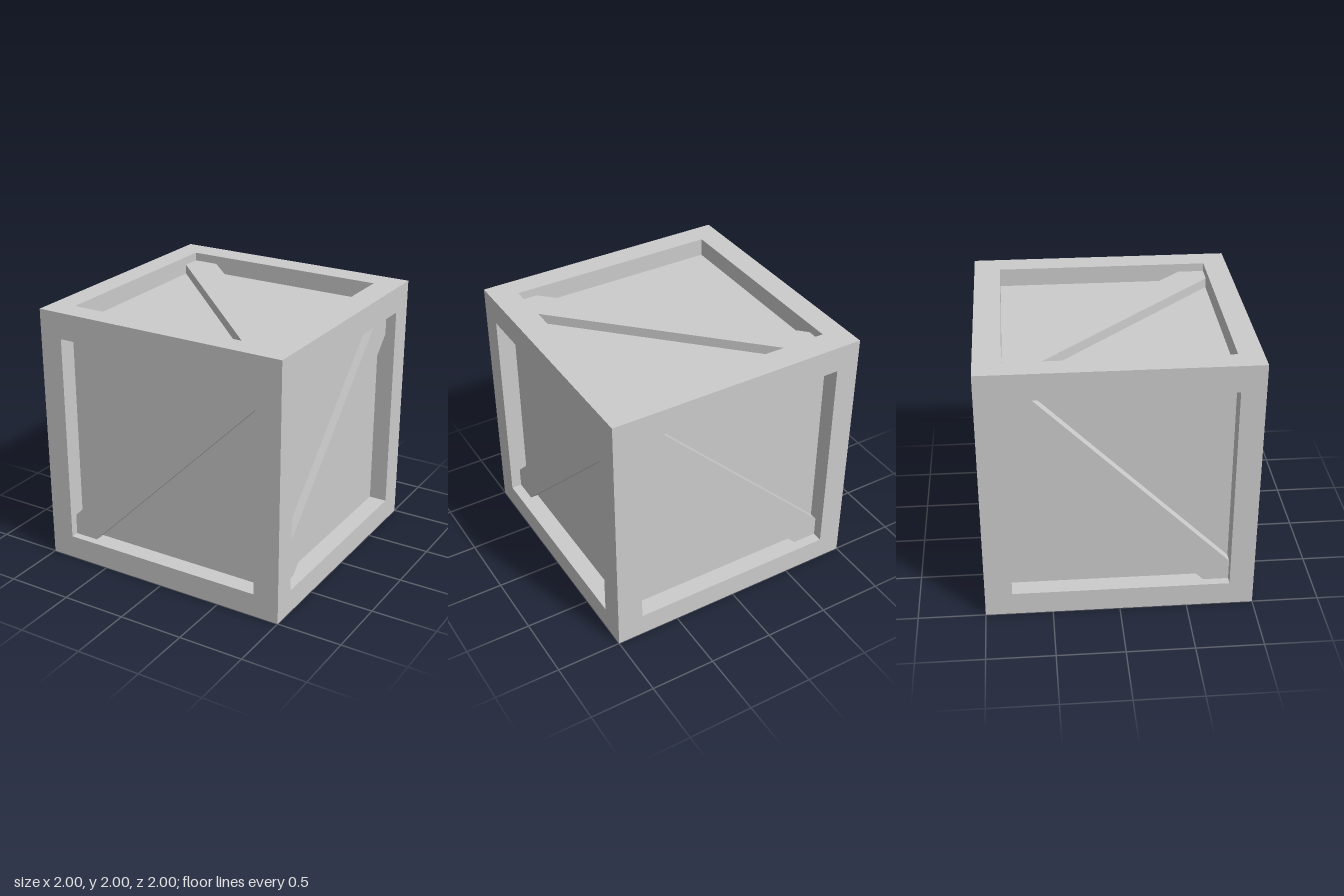
import * as THREE from 'three';

export function createModel() {
  const group = new THREE.Group();
  const mat = new THREE.MeshStandardMaterial({ color: 0xcccccc, flatShading: true });

  const add = (name, geo, parent = group) => {
    const m = new THREE.Mesh(geo, mat);
    m.name = name;
    parent.add(m);
    return m;
  };
  // Box between two extents on each axis
  const box = (name, [x0, x1], [y0, y1], [z0, z1]) =>
    add(name, new THREE.BoxGeometry(x1 - x0, y1 - y0, z1 - z0))
      .position.set((x0 + x1) / 2, (y0 + y1) / 2, (z0 + z1) / 2);

  // Recessed panels on all six sides
  box('innerPanels', [-0.86, 0.86], [0.14, 1.86], [-0.86, 0.86]);

  // Frame: corner posts with rails between them
  const xs = [[-1, -0.82], [0.8, 1]];
  const ys = [[0, 0.18], [1.8, 2]];
  const zs = [[-1, -0.8], [0.82, 1]];
  for (const x of xs) for (const z of zs) box('cornerPost', x, [0, 2], z);
  for (const y of ys) {
    for (const z of zs) box('widthRail', [-0.82, 0.8], y, z);
    for (const x of xs) box('depthRail', x, y, [-0.8, 0.82]);
  }

  // Diagonal braces, one on each side, trimmed to the frame opening
  const bracePair = (name, rotation, centreV, upper, lower, outer, inner) => {
    const h = 0.81;
    const shape = new THREE.Shape([
      [-h, -h], [-h + lower, -h], [h, h - lower],
      [h, h], [h - upper, h], [-h, -h + upper],
    ].map(([u, v]) => new THREE.Vector2(u - 0.01, v + centreV)));
    const pair = new THREE.Group();
    pair.name = name;
    pair.rotation.set(...rotation);
    pair.position.y = 1;
    for (const [z0, z1] of [[0.84, outer], [-inner, -0.84]]) {
      const geo = new THREE.ExtrudeGeometry(shape, { depth: z1 - z0, bevelEnabled: false });
      add('diagonalBrace', geo, pair).position.z = z0;
    }
    group.add(pair);
  };
  bracePair('frontBackBraces', [0, 0, 0], -0.01, 0.16, 0.19, 0.94, 0.92);
  bracePair('sideBraces', [0, Math.PI / 2, 0], -0.01, 0.16, 0.19, 0.92, 0.935);
  bracePair('topBottomBraces', [Math.PI / 2, 0, 0], 0.01, 0.15, 0.2, 0.93, 0.935);

  return group;
}
